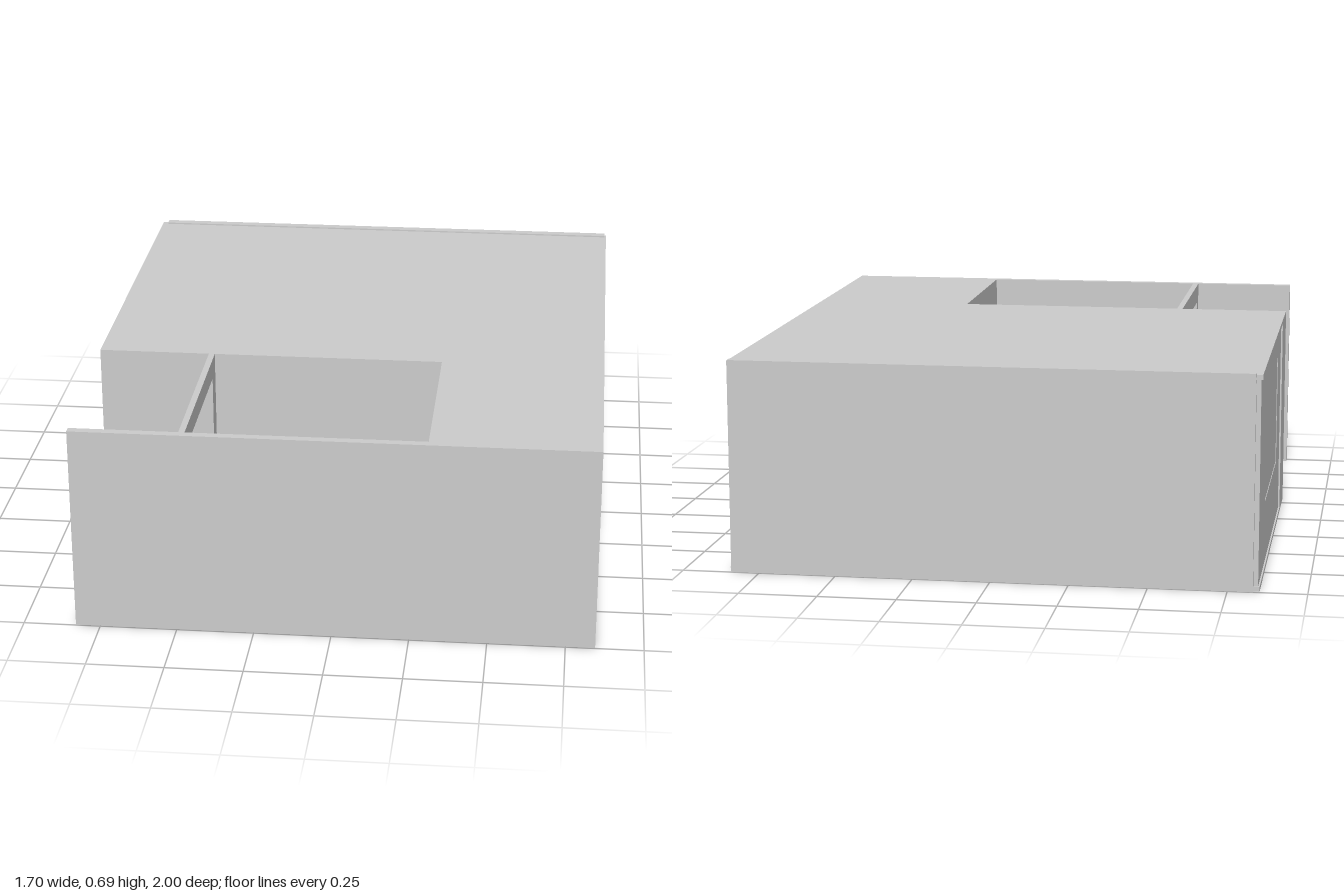
import * as THREE from 'three';

const material = new THREE.MeshStandardMaterial({ color: 0xcccccc, flatShading: true });
const H = 0.685; // roof height

export function createModel() {
  const model = new THREE.Group();

  const add = (name, geometry) => {
    const mesh = new THREE.Mesh(geometry, material);
    mesh.name = name;
    model.add(mesh);
    return mesh;
  };

  // Box given by its limits on each axis
  const box = (name, [x0, x1], [y0, y1], [z0, z1]) => {
    const g = new THREE.BoxGeometry(x1 - x0, y1 - y0, z1 - z0);
    return add(name, g.translate((x0 + x1) / 2, (y0 + y1) / 2, (z0 + z1) / 2));
  };

  const rectangle = (Kind, [a0, a1], [b0, b1]) =>
    new Kind([[a0, b0], [a1, b0], [a1, b1], [a0, b1]].map(p => new THREE.Vector2(...p)));

  // Side wall lying along z with one rectangular opening
  const openWall = (name, [x0, x1], z, y, openZ, openY) => {
    const shape = rectangle(THREE.Shape, z, y);
    shape.holes.push(rectangle(THREE.Path, openZ, openY));
    const g = new THREE.ExtrudeGeometry(shape, { depth: x1 - x0, bevelEnabled: false });
    return add(name, g.rotateY(-Math.PI / 2).translate(x1, 0, 0));
  };

  // Horizontal slab with the cut-away corner, optionally open over the courtyard
  const slab = (name, top, thickness, courtyardOpen) => {
    const outline = [[-0.85, -0.99], [0.845, -0.99], [0.845, 0.98], [-0.48, 0.98], [-0.48, 0.32], [-0.85, 0.32]];
    const shape = new THREE.Shape(outline.map(p => new THREE.Vector2(...p)));
    if (courtyardOpen) shape.holes.push(rectangle(THREE.Path, [-0.46, 0.305], [0.32, 0.97]));
    const g = new THREE.ExtrudeGeometry(shape, { depth: thickness, bevelEnabled: false });
    return add(name, g.rotateX(Math.PI / 2).translate(0, top, 0));
  };

  slab('floor', 0.015, 0.015, false);
  slab('roof', H, 0.015, true);

  // Outer walls; the front one runs on past the corner as a screen
  box('frontWall', [-0.83, 0.845], [0, H], [0.97, 0.997]);
  box('backWall', [-0.83, 0.84], [0, 0.69], [-1, -0.97]);
  box('leftWall', [0.825, 0.845], [0, H], [-0.985, 0.97]);

  // Right wall with its window, then the short blank corner panel
  openWall('windowWall', [-0.845, -0.825], [-0.985, 0.105], [0, H], [-0.69, -0.075], [0.22, 0.585]);
  box('windowPane', [-0.843, -0.837], [0.22, 0.585], [-0.69, -0.075]);
  box('cornerPanel', [-0.85, -0.825], [0, H], [0.115, 0.32]);

  // Courtyard walls and the doorway opening out to the side
  box('courtyardBackWall', [-0.85, 0.325], [0, H], [0.30, 0.32]);
  box('courtyardSideWall', [0.305, 0.325], [0, H], [0.32, 0.97]);
  openWall('doorWall', [-0.48, -0.46], [0.32, 0.97], [0, H], [0.38, 0.91], [0.02, 0.62]);

  return model;
}
